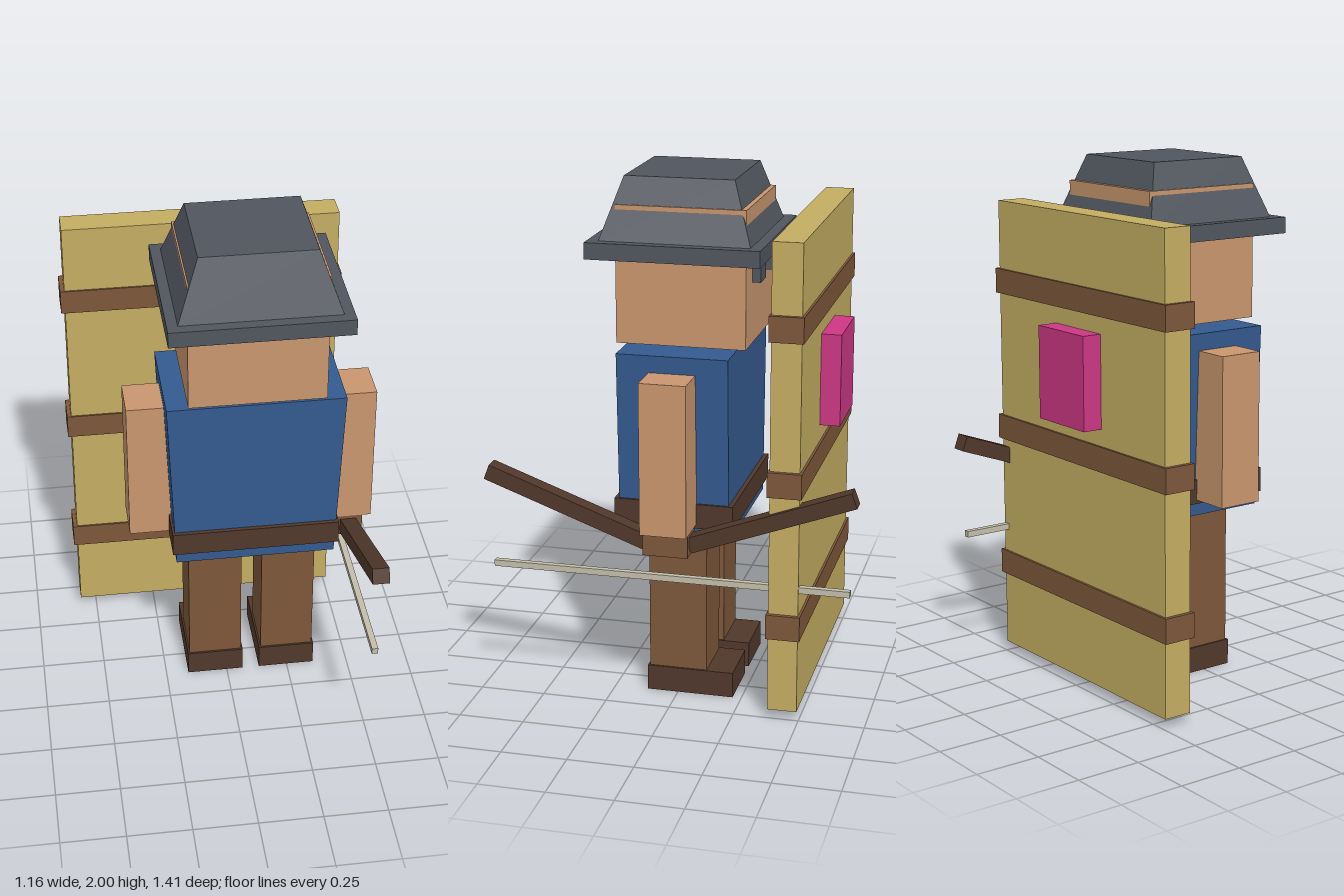
import * as THREE from 'three';

const mat = (name, color) => {
  const m = new THREE.MeshStandardMaterial({ color });
  m.name = name;
  return m;
};

export function createModel() {
  const model = new THREE.Group();
  model.name = 'archerWithShield';

  const skin = mat('skin', 0xc8966e);
  const blue = mat('blueCloth', 0x345a8e);
  const brown = mat('brownLeather', 0x7d573a);
  const dark = mat('darkLeather', 0x50382b);
  const grey = mat('greyFelt', 0x51565e);
  const wood = mat('paleWood', 0xc4ad62);
  const pink = mat('pinkPaint', 0xcc3784);
  const steel = mat('paleShaft', 0xc4beaa);

  // Box given by its limits, optionally tapered in x and z towards the top
  function block(name, material, [x0, x1], [y0, y1], [z0, z1], topX = 1, topZ = 1) {
    const h = y1 - y0;
    const geo = new THREE.BoxGeometry(x1 - x0, h, z1 - z0);
    const p = geo.attributes.position;
    for (let i = 0; i < p.count; i++) {
      if (p.getY(i) > 0) {
        p.setX(i, p.getX(i) * topX);
        p.setZ(i, p.getZ(i) * topZ);
      }
    }
    geo.computeVertexNormals();
    const mesh = new THREE.Mesh(geo, material);
    mesh.name = name;
    mesh.position.set((x0 + x1) / 2, (y0 + y1) / 2, (z0 + z1) / 2);
    model.add(mesh);
    return mesh;
  }

  const cx = 0.1; // centre line of the figure
  const across = (centre, half) => [centre - half, centre + half];

  // Head and hat; the head's top edges show through the sloping crown
  block('head', skin, across(cx, 0.26), [1.385, 1.9], [-0.258, 0.23]);
  block('hatBrim', grey, across(cx, 0.34), [1.71, 1.772], [-0.325, 0.325]);
  block('hatCrown', grey, across(cx, 0.3), [1.772, 2.0], [-0.282, 0.282], 0.725, 0.73);

  // Torso and belt
  block('torso', blue, across(cx, 0.31), [0.655, 1.365], [-0.21, 0.21], 1.095, 1);
  block('belt', dark, across(cx, 0.325), [0.705, 0.8], [-0.227, 0.227]);

  // Paired parts
  for (const [side, s] of [['left', 1], ['right', -1]]) {
    block(side + 'Arm', skin, across(cx + s * 0.39, 0.09), [0.72, 1.3], [-0.088, 0.088]);
    block(side + 'Leg', brown, across(cx + s * 0.147, 0.106), [0.1, 0.66], [-0.112, 0.112]);
    block(side + 'Shoe', dark, across(cx + s * 0.147, 0.113), [0, 0.1], [-0.216, 0.12]);
    block(side + 'Eye', grey, across(cx + s * 0.11, 0.045), [1.615, 1.695], [-0.29, -0.25]);
  }

  // Bow: grip and two angled limbs
  const bowX = 0.49;
  block('bowGrip', brown, across(bowX, 0.057), [0.63, 0.72], [-0.085, 0.085]);
  for (const s of [1, -1]) {
    const limb = block('bowLimb', dark, across(bowX, 0.032), [-0.03, 0.03], [-0.327, 0.327]);
    limb.position.set(bowX, 0.784, s * 0.389);
    limb.rotation.x = -s * 0.353;
  }
  block('arrow', steel, across(0.487, 0.012), [0.513, 0.537], [-0.683, 0.683]);

  // Plank shield with straps and a painted block
  block('shieldBoard', wood, [-0.566, 0.504], [0.037, 1.825], [-0.493, -0.381]);
  for (const y of [0.377, 0.932, 1.513]) {
    block('shieldBand', brown, [-0.582, 0.52], [y - 0.048, y + 0.048], [-0.502, -0.374]);
  }
  block('shieldEmblem', pink, [-0.176, 0.116], [1.045, 1.4], [-0.57, -0.49]);

  return model;
}
